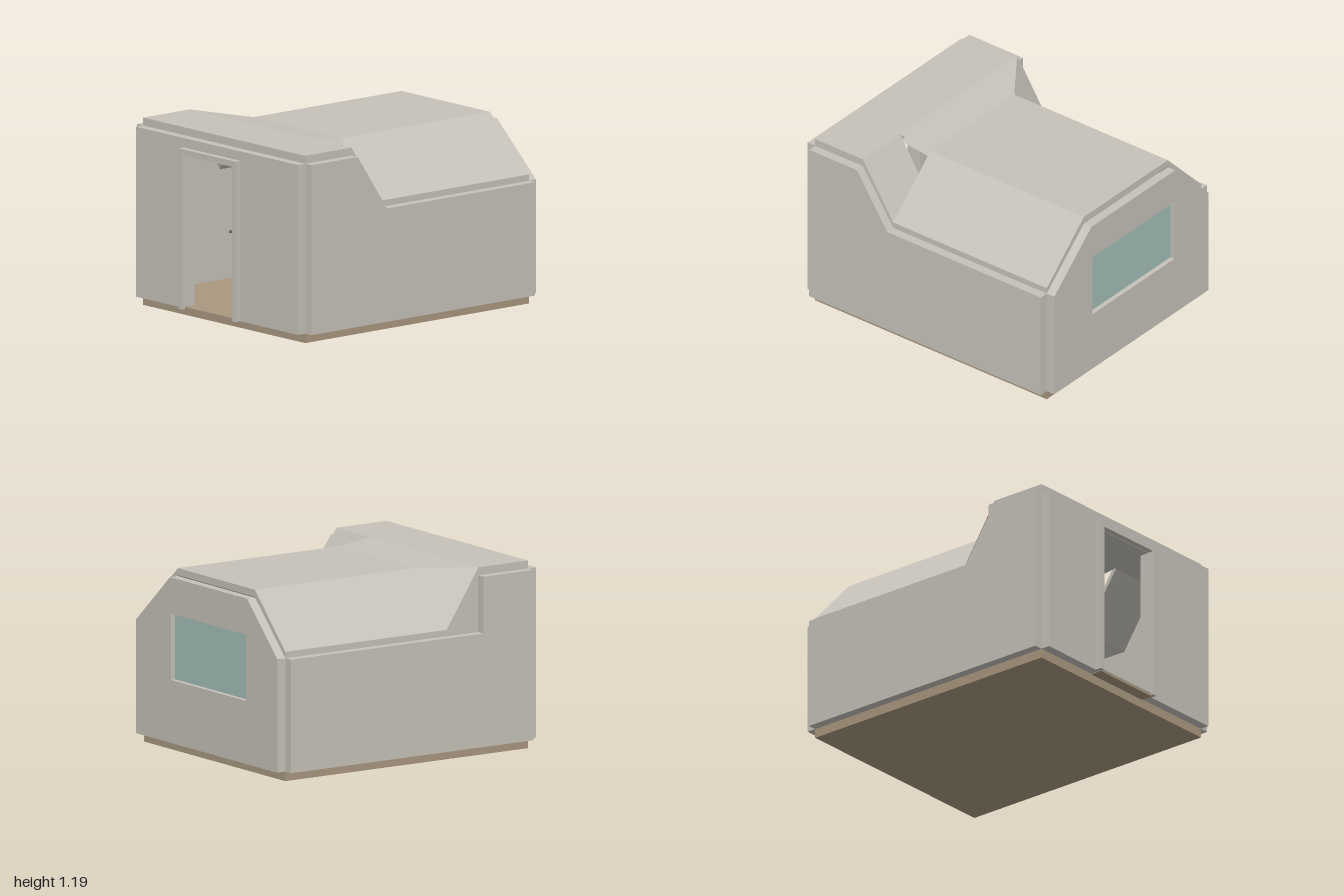
import * as THREE from 'three';

const mat = (name, color, side = THREE.FrontSide) => {
  const m = new THREE.MeshStandardMaterial({ color, side });
  m.name = name;
  return m;
};

export function createModel() {
  const model = new THREE.Group();
  const wall = mat('stone grey', 0xc6c2b9);
  const shell = wall.clone();
  shell.side = THREE.DoubleSide;
  const floorTan = mat('floor tan', 0xa99880);
  const glass = mat('pale teal glass', 0xa3bdb8);
  const lead = mat('black lead', 0x15181a);
  const brass = mat('dark brass', 0x6b6455);

  const add = (name, geometry, material, parent = model) => {
    const mesh = new THREE.Mesh(geometry, material);
    mesh.name = name;
    parent.add(mesh);
    return mesh;
  };
  // Box given by its limits on each axis
  const box = (name, x0, x1, y0, y1, z0, z1, material = wall, parent = model) => {
    const m = add(name, new THREE.BoxGeometry(x1 - x0, y1 - y0, z1 - z0), material, parent);
    m.position.set((x0 + x1) / 2, (y0 + y1) / 2, (z0 + z1) / 2);
    return m;
  };
  const outline = (pts, Type = THREE.Shape) => new Type(pts.map(p => new THREE.Vector2(...p)));
  const rect = (x0, x1, y0, y1) => [[x0, y0], [x0, y1], [x1, y1], [x1, y0]];
  const extrude = (shape, depth) => new THREE.ExtrudeGeometry(shape, { depth, bevelEnabled: false });
  // Profile of [z, y] points extruded from x0 to x1
  const extrudeX = (name, pts, x0, x1) => {
    const m = add(name, extrude(outline(pts), x1 - x0), wall);
    m.rotation.y = -Math.PI / 2;
    m.position.x = x1;
  };

  // Floor slab, raised inner floor and door sill
  box('floor', -0.77, 0.77, 0, 0.06, -0.94, 0.9, floorTan);
  box('innerFloor', -0.765, 0.765, 0.06, 0.075, -0.935, 0.895, floorTan);
  box('doorSill', -0.29, 0.2, 0.055, 0.075, 0.89, 0.98, floorTan);
  box('baseboard', -0.76, 0.76, 0.075, 0.105, -0.94, -0.925);

  // Side walls: sloping shoulder on +x, square step on -x
  extrudeX('leftWall', [[-0.94, 0.06], [0.9, 0.06], [0.9, 1.14], [0.52, 1.14], [0.28, 0.78], [-0.94, 0.78]], 0.77, 0.83);
  extrudeX('rightWall', [[-0.94, 0.06], [0.9, 0.06], [0.9, 1.14], [0.52, 1.14], [0.52, 0.78], [-0.94, 0.78]], -0.83, -0.77);
  extrudeX('rightGable', [[0.28, 0.77], [0.525, 0.77], [0.525, 1.18], [0.52, 1.18], [0.28, 0.815]], -0.77, -0.76);

  // Front wall with an open doorway
  const front = outline([[-0.77, 0.06], [-0.28, 0.06], [-0.28, 1.04], [0.19, 1.04], [0.19, 0.06],
    [0.77, 0.06], [0.77, 1.14], [-0.77, 1.14]]);
  add('frontWall', extrude(front, 0.06), wall).position.z = 0.9;
  box('doorPostRight', -0.318, -0.28, 0.06, 1.042, 0.9, 1.0);
  box('doorPostLeft', 0.187, 0.222, 0.06, 1.042, 0.9, 1.0);
  box('doorLintel', -0.318, 0.222, 1.042, 1.08, 0.9, 1.0);

  // Back wall with a window hole
  const back = outline([[-0.77, 0.06], [0.77, 0.06], [0.77, 0.78], [0.4, 1.11], [-0.44, 1.11], [-0.77, 0.78]]);
  back.holes.push(outline(rect(-0.43, 0.39, 0.46, 0.88), THREE.Path));
  add('backWall', extrude(back, 0.06), wall).position.z = -1;

  // Roof: flat front slab, then a faceted shell with an open notch on +x
  box('frontRoof', -0.77, 0.77, 1.14, 1.19, 0.52, 0.9);
  extrudeX('notchSlope', [[0.52, 1.14], [0.52, 1.19], [0.28, 0.82], [0.28, 0.78]].reverse(), 0.4, 0.77);
  const a = [-0.77, 1.19, 0.52], b = [0.4, 1.19, 0.52], c = [0.4, 1.16, 0.28], d = [-0.44, 1.16, 0.28];
  const e = [-0.77, 0.82, 0.28], f = [0.77, 0.82, 0.28];
  const atBack = p => [p[0], p[1], -0.94];
  const low = p => [p[0], p[1] - 0.045, p[2]];
  const [cb, db, eb, fb] = [c, d, e, f].map(atBack);
  const outer = [[a, b, c, d], [d, c, cb, db], [e, d, db, eb], [c, f, fb, cb], [a, d, e]];
  const inner = outer.map(face => face.map(low).reverse());
  const rim = (p, q) => [p, low(p), low(q), q];
  const rims = [rim(f, fb), rim(fb, cb), rim(cb, db), rim(db, eb), rim(eb, e)];
  const pos = [];
  for (const face of [...outer, ...inner, ...rims]) {
    for (let i = 1; i < face.length - 1; i++) pos.push(...face[0], ...face[i], ...face[i + 1]);
  }
  const roof = new THREE.BufferGeometry();
  roof.setAttribute('position', new THREE.Float32BufferAttribute(pos, 3));
  roof.computeVertexNormals();
  add('rearRoof', roof, shell);

  // Back window: glass, inner casing and two leaded sashes
  const win = new THREE.Group();
  win.name = 'backWindow';
  model.add(win);
  box('windowGlass', -0.43, 0.39, 0.46, 0.88, -0.968, -0.96, glass, win);
  const casing = outline(rect(-0.47, 0.43, 0.41, 0.9));
  casing.holes.push(outline(rect(-0.43, 0.39, 0.445, 0.865), THREE.Path));
  add('windowCasing', extrude(casing, 0.03), wall, win).position.z = -0.94;

  const latticePane = (x0, x1, y0, y1) => {
    const w = x1 - x0, h = y1 - y0;
    for (let k = -w + 0.05; k < h; k += 0.11) {
      const s = Math.max(0, -k), t = Math.min(w, h - k);
      if (t - s < 0.01) continue;
      for (const dir of [1, -1]) {
        const mid = (s + t) / 2;
        const bar = add('leadBar', new THREE.BoxGeometry((t - s) * Math.SQRT2, 0.008, 0.005), lead, win);
        bar.position.set(dir > 0 ? x0 + mid : x1 - mid, y0 + mid + k, -0.957);
        bar.rotation.z = dir * Math.PI / 4;
      }
    }
  };
  for (const [x0, x1] of [[-0.43, -0.017], [0.008, 0.39]]) {
    const sash = outline(rect(x0, x1, 0.44, 0.865));
    sash.holes.push(outline(rect(x0 + 0.022, x1 - 0.022, 0.462, 0.848), THREE.Path));
    add('windowSash', extrude(sash, 0.04), wall, win).position.z = -0.955;
    latticePane(x0 + 0.022, x1 - 0.022, 0.462, 0.848);
  }
  box('windowMullion', -0.017, 0.008, 0.44, 0.865, -0.96, -0.925, wall, win);
  add('windowKnob', new THREE.SphereGeometry(0.01, 12, 8), brass, win).position.set(-0.006, 0.63, -0.915);

  // Cupboard door on the inner side wall
  box('cupboardDoor', -0.77, -0.762, 0.12, 0.74, -0.4, 0.16);
  add('cupboardKnob', new THREE.SphereGeometry(0.01, 12, 8), brass).position.set(-0.76, 0.37, 0.19);

  return model;
}
